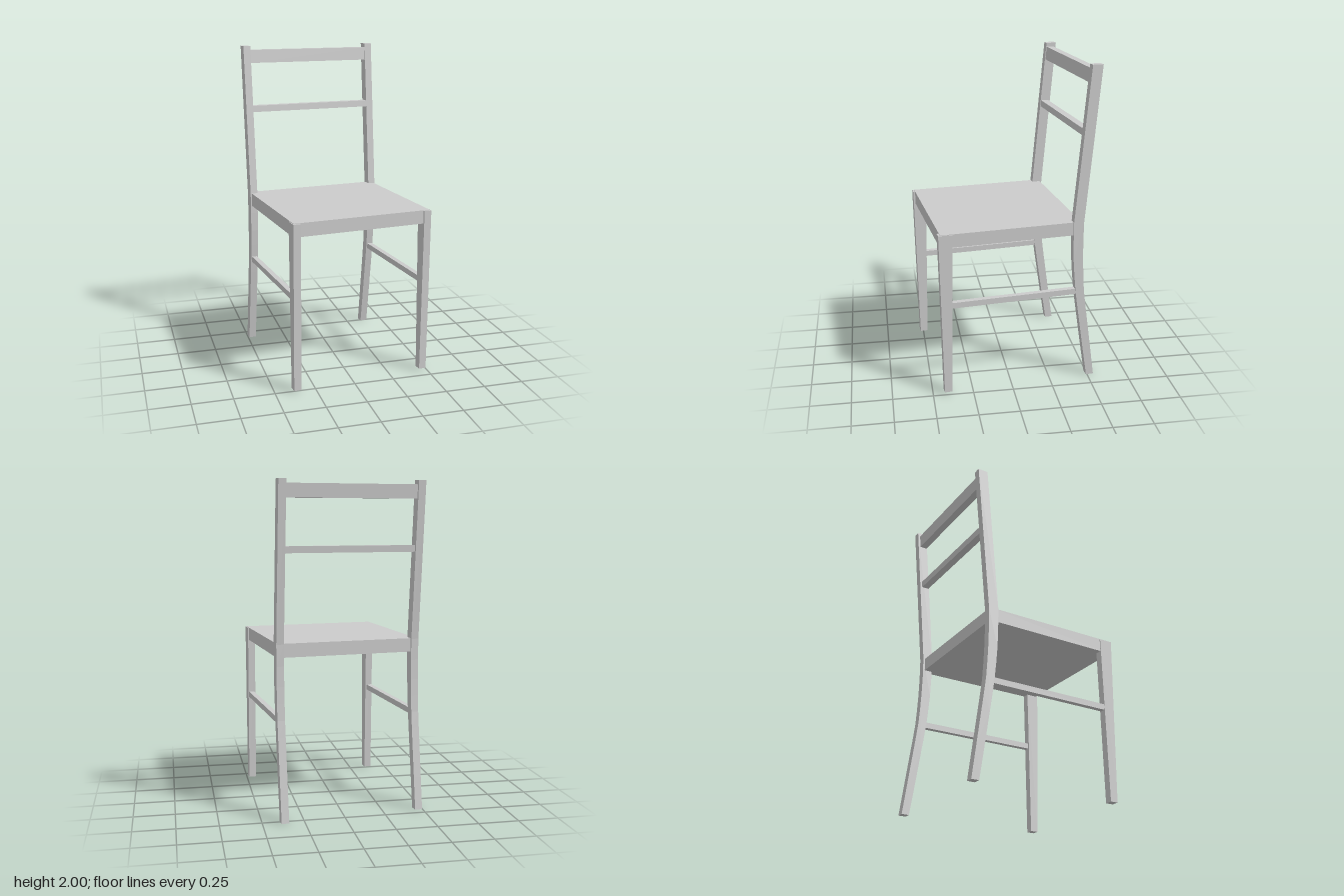
import * as THREE from 'three';

const material = new THREE.MeshStandardMaterial({ color: 0xcccccc, flatShading: true });

// Extrude a side profile of [z, y] points across x, from xMin to xMax
function sideExtrusion(name, profile, xMin, xMax) {
  const shape = new THREE.Shape(profile.map(([z, y]) => new THREE.Vector2(z, y)));
  const geometry = new THREE.ExtrudeGeometry(shape, { depth: xMax - xMin, bevelEnabled: false });
  geometry.rotateY(-Math.PI / 2);
  geometry.translate(xMax, 0, 0);
  const mesh = new THREE.Mesh(geometry, material);
  mesh.name = name;
  return mesh;
}

// Rear post stations: [y, front z, back z]
const post = [
  [0, -0.447, -0.495],
  [0.2, -0.416, -0.467],
  [0.4, -0.386, -0.439],
  [0.5, -0.371, -0.425],
  [0.6, -0.357, -0.412],
  [0.7, -0.347, -0.405],
  [0.8, -0.339, -0.4],
  [0.92, -0.335, -0.397],
  [1.05, -0.334, -0.398],
  [2, -0.419, -0.483],
];

// Front face of the leaning back at height y
const backFront = (y) => -0.334 - ((y - 1.05) / 0.95) * 0.085;

function backRail(name, y0, y1) {
  const inset = 0.004, depth = 0.046;
  const a = backFront(y0) - inset, b = backFront(y1) - inset;
  return sideExtrusion(name, [[a, y0], [b, y1], [b - depth, y1], [a - depth, y0]], -0.402, 0.402);
}

export function createModel() {
  const chair = new THREE.Group();
  chair.name = 'chair';

  // Solid seat panel
  chair.add(sideExtrusion('seat', [[0.485, 0.97], [0.485, 1.053], [-0.385, 1.053], [-0.385, 0.97]], -0.438, 0.438));

  const postProfile = [
    ...post.map(([y, front]) => [front, y]),
    ...[...post].reverse().map(([y, , back]) => [back, y]),
  ];
  // Front legs taper towards the floor
  const frontLegProfile = [[0.479, 0.013], [0.497, 1.05], [0.412, 1.05], [0.431, 0.013]];
  const stretcherProfile = [[0.44, 0.578], [0.44, 0.614], [-0.37, 0.614], [-0.37, 0.578]];

  // Matching parts on both sides
  for (const [label, side] of [['left', 1], ['right', -1]]) {
    const add = (name, profile, inner, outer) => {
      const [lo, hi] = side > 0 ? [inner, outer] : [-outer, -inner];
      chair.add(sideExtrusion(label + name, profile, lo, hi));
    };
    add('FrontLeg', frontLegProfile, 0.397, 0.443);
    add('BackPost', postProfile, 0.4, 0.446);
    add('Stretcher', stretcherProfile, 0.407, 0.44);
  }

  // Horizontal rails of the backrest
  chair.add(backRail('topRail', 1.893, 1.975));
  chair.add(backRail('middleRail', 1.58, 1.62));

  // The chair stands slightly turned
  chair.rotation.y = 0.11;
  const model = new THREE.Group();
  model.name = 'model';
  model.add(chair);
  return model;
}
